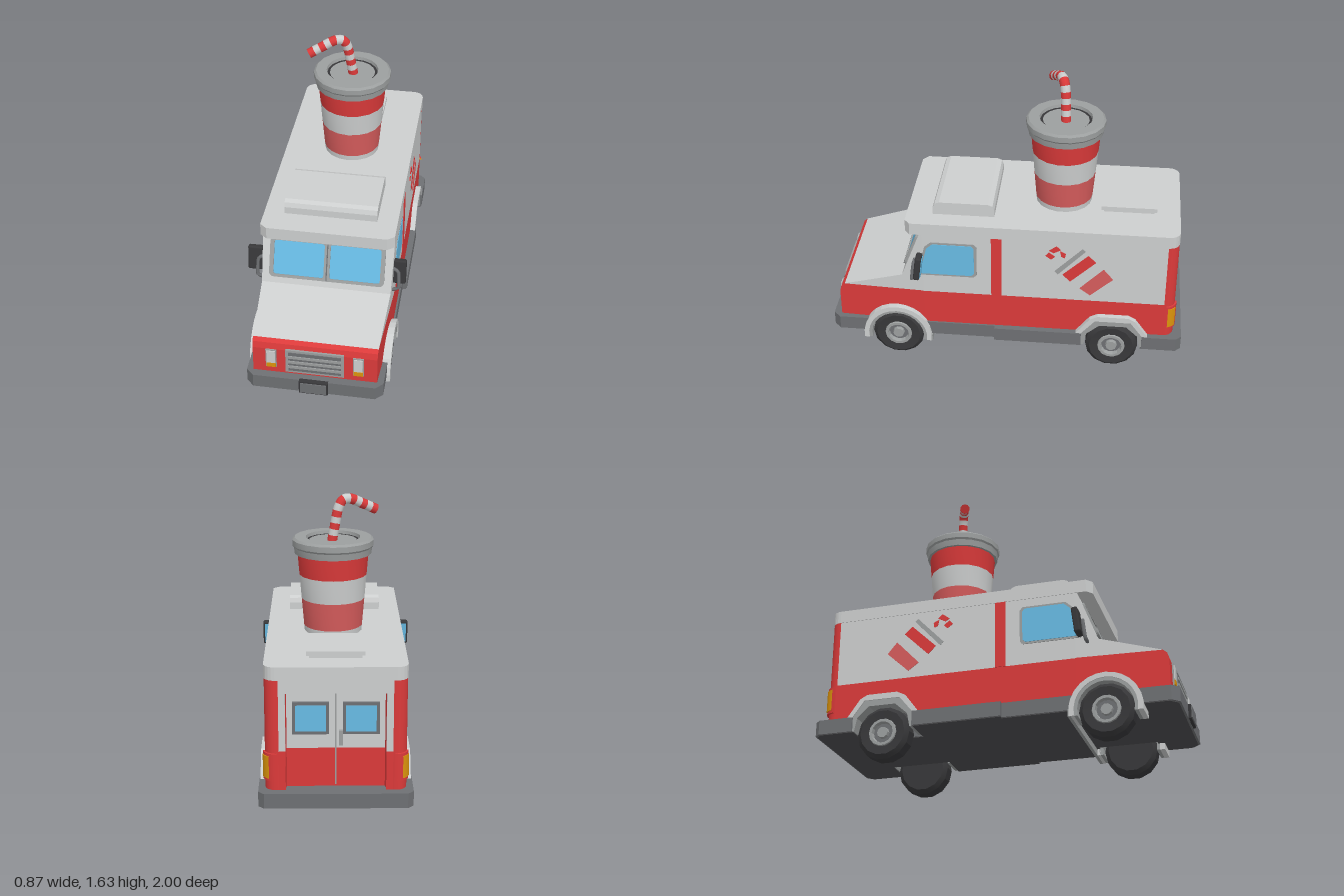
import * as THREE from 'three';
import { toCreasedNormals } from 'three/addons/utils/BufferGeometryUtils.js';
import { RoundedBoxGeometry } from 'three/addons/geometries/RoundedBoxGeometry.js';

const material = (name, color) => {
  const m = new THREE.MeshStandardMaterial({ color });
  m.name = name;
  return m;
};

export function createModel() {
  const white = material('bodyWhite', 0xcdcfcf), red = material('bodyRed', 0xdb3a3a);
  const paleRed = material('paleRed', 0xd65c5c), glass = material('glassBlue', 0x68bbe4);
  const grey = material('trimGrey', 0x9c9f9f), dark = material('bumperGrey', 0x6e7073);
  const black = material('rubberBlack', 0x38383a), amber = material('lampAmber', 0xdc940c);
  const under = material('undersideGrey', 0x4e4e50);

  const root = new THREE.Group();
  root.name = 'drinkTruck';
  const truck = new THREE.Group();
  truck.name = 'truck';
  truck.position.x = 0.01;
  root.add(truck);

  const add = (name, geometry, mat, parent = truck) => {
    const mesh = new THREE.Mesh(geometry, mat);
    mesh.name = name;
    parent.add(mesh);
    return mesh;
  };
  const box = (name, x0, x1, y0, y1, z0, z1, mat, parent) => {
    const mesh = add(name, new THREE.BoxGeometry(x1 - x0, y1 - y0, z1 - z0), mat, parent);
    mesh.position.set((x0 + x1) / 2, (y0 + y1) / 2, (z0 + z1) / 2);
    return mesh;
  };
  const shapeOf = pts => new THREE.Shape(pts.map(p => new THREE.Vector2(...p)));
  const extrude = (shape, depth) => new THREE.ExtrudeGeometry(shape, { depth, bevelEnabled: false, curveSegments: 4 });
  // Side profile in (z, y), extruded from x0 to x1
  const side = (pts, x0, x1) => extrude(shapeOf(pts), x1 - x0).rotateY(-Math.PI / 2).translate(x1, 0, 0);
  // Plan outline in (x, z), extruded from y0 to y1
  const plan = (pts, y0, y1) => extrude(shapeOf(pts.map(([x, z]) => [x, -z])), y1 - y0).rotateX(-Math.PI / 2).translate(0, y0, 0);
  // The same side profile on both flanks
  const flanks = (name, pts, x0, x1, mat) => {
    add(name + 'Left', side(pts, x0, x1), mat);
    add(name + 'Right', side(pts, -x1, -x0), mat);
  };
  const mirrored = half => [...half, ...half.map(([x, z]) => [-x, z]).reverse()];
  const arc = (cx, cy, r, a0, a1, n) => Array.from({ length: n + 1 }, (_, i) => {
    const a = a0 + (a1 - a0) * i / n;
    return [cx + r * Math.cos(a), cy + r * Math.sin(a)];
  });
  const lathe = (pts, n) => toCreasedNormals(new THREE.LatheGeometry(pts.map(p => new THREE.Vector2(...p)), n), 0.42);
  const rect = (path, x, y, w, h, r) => {
    path.moveTo(x - w / 2 + r, y - h / 2);
    path.lineTo(x + w / 2 - r, y - h / 2); path.quadraticCurveTo(x + w / 2, y - h / 2, x + w / 2, y - h / 2 + r);
    path.lineTo(x + w / 2, y + h / 2 - r); path.quadraticCurveTo(x + w / 2, y + h / 2, x + w / 2 - r, y + h / 2);
    path.lineTo(x - w / 2 + r, y + h / 2); path.quadraticCurveTo(x - w / 2, y + h / 2, x - w / 2, y + h / 2 - r);
    path.lineTo(x - w / 2, y - h / 2 + r); path.quadraticCurveTo(x - w / 2, y - h / 2, x - w / 2 + r, y - h / 2);
    return path;
  };

  // Chassis with wheel notches, bumpers and rear step
  const base = mirrored([[0.33, 0.98], [0.37, 0.94], [0.37, 0.77], [0.22, 0.77], [0.22, 0.44], [0.37, 0.44], [0.37, 0.05],
    [0.395, 0.05], [0.395, -0.44], [0.22, -0.44], [0.22, -0.78], [0.395, -0.78], [0.395, -0.97], [0.365, -1]]);
  add('chassis', plan(base, 0.16, 0.24), dark);
  add('underside', plan(base.map(([x, z]) => [x * 0.985, z * 0.99]), 0.156, 0.161), under);
  box('frontWheelWell', -0.22, 0.22, 0.2, 0.42, 0.43, 0.78, under);
  box('rearWheelWell', -0.22, 0.22, 0.2, 0.42, -0.79, -0.43, under);
  box('crossBar', -0.385, 0.385, 0.12, 0.16, 0.405, 0.422, grey);
  box('plateHolder', -0.078, 0.078, 0.162, 0.242, 0.97, 0.995, black);
  box('blankPlate', -0.07, 0.07, 0.17, 0.234, 0.99, 1, dark);

  // Main body
  const W = 0.36;
  add('lowerBody', side([[-0.9, 0.24], [-0.77, 0.24], [-0.7, 0.31], [-0.53, 0.31], [-0.46, 0.24], [0.45, 0.24], [0.45, 0.45], [-0.9, 0.45]], -W, W), red);
  box('upperBody', -W, W, 0.45, 0.84, -0.9, 0.45, white);

  // Nose narrows toward the front
  const taper = geometry => {
    const p = geometry.attributes.position;
    for (let i = 0; i < p.count; i++) p.setX(i, p.getX(i) * (1 - 0.145 * (p.getZ(i) - 0.45)));
    geometry.computeVertexNormals();
    return geometry;
  };
  add('lowerNose', taper(side([[0.45, 0.24], ...arc(0.605, 0.148, 0.16, 2.53, 0.61, 8), [0.935, 0.24], [0.935, 0.4], [0.925, 0.435], [0.905, 0.452], [0.45, 0.452]], -W, W)), red);
  add('hoodAndPillars', taper(side([[0.45, 0.452], [0.905, 0.452], [0.57, 0.55], [0.46, 0.84], [0.45, 0.84]], -W, W)), white);

  // Roof slab with visor, rounded at the rear
  const corner = arc(0.305, -0.896, 0.058, 0, -Math.PI / 2, 5);
  add('roof', plan(mirrored([[0.325, 0.545], [0.363, 0.515], ...corner]), 0.83, 0.9), white);
  add('roofUnit', side([[0.06, 0.895], [0.06, 0.94], [0.07, 0.965], [0.095, 0.975], [0.365, 0.975], [0.39, 0.965], [0.4, 0.94], [0.4, 0.895]], -0.253, 0.253), white);
  box('hatchBase', -0.135, 0.135, 0.895, 0.92, -0.81, -0.535, white);
  box('hatchLid', -0.15, 0.15, 0.917, 0.94, -0.825, -0.52, white);

  // Rear header, door seam and handle; the doors sit back between the posts
  box('rearHeader', -0.305, 0.305, 0.76, 0.835, -0.95, -0.9, white);
  box('doorSeam', -0.004, 0.004, 0.25, 0.76, -0.904, -0.895, grey);
  box('doorHandle', -0.035, -0.015, 0.47, 0.55, -0.92, -0.895, grey);
  for (const s of [-1, 1]) {
    const at = s * 0.28;
    box('rearJamb', at - 0.025, at + 0.025, 0.45, 0.77, -0.95, -0.9, white);
    box('rearJambLower', at - 0.025, at + 0.025, 0.24, 0.45, -0.95, -0.9, red);
    add('cornerPost', new THREE.CylinderGeometry(0.0555, 0.0555, 0.59, 20), red).position.set(s * 0.305, 0.535, -0.897);
    box('rearWindowFrame', s * 0.128 - 0.093, s * 0.128 + 0.093, 0.53, 0.7, -0.916, -0.895, dark);
    box('rearWindow', s * 0.128 - 0.077, s * 0.128 + 0.077, 0.546, 0.684, -0.92, -0.91, glass);
    // Tail lamps wrap the corner: red housing, amber lens on the flank
    const wrap = (name, r, h, from, to, mat) => {
      const start = s > 0 ? from : 360 - to;
      const rad = Math.PI / 180;
      add(name, new THREE.CylinderGeometry(r, r, h, 8, 1, false, start * rad, (to - from) * rad), mat).position.set(s * 0.305, 0.365, -0.897);
    };
    wrap('tailLampHousing', 0.065, 0.15, 98, 185, red);
    wrap('tailLampLens', 0.069, 0.12, 106, 150, amber);
    // Headlamps
    box('headlampFrame', s * 0.235 - 0.029, s * 0.235 + 0.029, 0.28, 0.4, 0.92, 0.943, grey);
    box('headlamp', s * 0.235 - 0.023, s * 0.235 + 0.023, 0.312, 0.394, 0.94, 0.948, white);
    box('turnSignal', s * 0.235 - 0.025, s * 0.235 + 0.025, 0.284, 0.312, 0.94, 0.949, amber);
    // Wing mirrors
    const mirror = new THREE.Group();
    mirror.name = 'wingMirror';
    mirror.position.set(s * 0.394 - 0.01, 0.637, 0.472);
    mirror.rotation.x = -0.12;
    truck.add(mirror);
    add('mirrorShell', new RoundedBoxGeometry(0.084, 0.145, 0.035, 2, 0.01), black, mirror);
    box('mirrorGlass', -0.032, 0.032, -0.06, 0.06, -0.021, -0.015, glass, mirror);
    const arm = new THREE.CatmullRomCurve3([[0.345, 0.67, 0.49], [0.385, 0.65, 0.497], [0.39, 0.55, 0.51], [0.345, 0.535, 0.515]]
      .map(([x, y, z]) => new THREE.Vector3(s * x, y, z)), false, 'catmullrom', 0.2);
    add('mirrorArm', new THREE.TubeGeometry(arm, 12, 0.01, 6), dark);
  }

  // Grille
  box('grilleFrame', -0.157, 0.157, 0.255, 0.41, 0.92, 0.943, grey);
  box('grilleOpening', -0.142, 0.142, 0.269, 0.396, 0.94, 0.946, dark);
  for (let i = 0; i < 3; i++) box('grilleBar', -0.142, 0.142, 0.29 + i * 0.034, 0.306 + i * 0.034, 0.94, 0.951, grey);

  // Windscreen on the sloped front
  const screen = new THREE.Group();
  screen.name = 'windscreen';
  screen.position.set(0, 0.69, 0.515);
  screen.rotation.x = -0.374;
  truck.add(screen);
  const frame = rect(new THREE.Shape(), 0, 0, 0.63, 0.225, 0.03);
  for (const s of [-1, 1]) frame.holes.push(rect(new THREE.Path(), s * 0.154, 0, 0.276, 0.194, 0.015));
  add('windscreenFrame', extrude(frame, 0.014), grey, screen);
  box('windscreenGlass', -0.3, 0.3, -0.1, 0.1, 0, 0.006, glass, screen);
  box('windscreenSeam', -0.003, 0.003, -0.11, 0.11, 0.01, 0.016, dark, screen);

  // Side windows and red door stripes
  const pane = [[0.482, 0.565], [0.437, 0.75], [0.4, 0.783], [0.165, 0.783], [0.148, 0.766], [0.148, 0.582], [0.165, 0.565]];
  flanks('sideWindowFrame', pane, 0.35, 0.364, grey);
  flanks('sideWindow', pane.map(([z, y]) => [0.312 + (z - 0.312) * 0.91, 0.674 + (y - 0.674) * 0.9]), 0.358, 0.367, glass);
  flanks('doorStripe', [[0.01, 0.45], [0.068, 0.45], [0.068, 0.83], [0.01, 0.83]], 0.356, 0.364, red);

  // Painted cup on both flanks
  const paint = [
    [red, [[-0.326, 0.618], [-0.465, 0.751], [-0.508, 0.709], [-0.369, 0.575]]],
    [paleRed, [[-0.422, 0.532], [-0.551, 0.666], [-0.604, 0.602], [-0.481, 0.489]]],
    [grey, [[-0.283, 0.639], [-0.433, 0.794], [-0.449, 0.778], [-0.3, 0.618]]],
    [red, [[-0.23, 0.738], [-0.25, 0.76], [-0.283, 0.735], [-0.262, 0.715]]],
    [red, [[-0.25, 0.772], [-0.29, 0.803], [-0.315, 0.78], [-0.275, 0.758]]],
    [red, [[-0.31, 0.772], [-0.342, 0.757], [-0.337, 0.728], [-0.317, 0.737]]],
  ];
  paint.forEach(([mat, pts], i) => flanks('paintedCup' + (i + 1), pts, 0.356, 0.363, mat));

  // Wheel arches: light outer lip and darker lining
  flanks('frontArch', [...arc(0.605, 0.148, 0.195, -0.14, Math.PI + 0.14, 14), ...arc(0.605, 0.148, 0.168, Math.PI + 0.165, -0.165, 14)], 0.24, 0.388, white);
  flanks('frontArchLining', [...arc(0.605, 0.148, 0.172, -0.16, Math.PI + 0.16, 14), ...arc(0.605, 0.148, 0.15, Math.PI + 0.18, -0.18, 14)], 0.24, 0.382, grey);
  flanks('rearArch', [[-0.405, 0.235], [-0.485, 0.34], [-0.53, 0.362], [-0.7, 0.362], [-0.74, 0.34], [-0.815, 0.235],
    [-0.785, 0.235], [-0.715, 0.33], [-0.515, 0.33], [-0.435, 0.235]], 0.24, 0.39, white);
  flanks('rearArchLining', [[-0.43, 0.235], [-0.515, 0.335], [-0.715, 0.335], [-0.79, 0.235], [-0.79, 0.16], [-0.77, 0.16],
    [-0.755, 0.235], [-0.69, 0.297], [-0.54, 0.297], [-0.47, 0.235], [-0.455, 0.16], [-0.435, 0.16]], 0.24, 0.384, grey);

  // Wheels
  for (const s of [-1, 1]) for (const z of [0.605, -0.612]) {
    const wheel = new THREE.Group();
    wheel.name = z > 0 ? 'frontWheel' : 'rearWheel';
    wheel.position.set(s * 0.315, 0.147, z);
    wheel.rotation.z = -s * Math.PI / 2;
    truck.add(wheel);
    add('tyre', lathe([[0, -0.055], [0.125, -0.055], [0.147, -0.035], [0.147, 0.035], [0.125, 0.055], [0.078, 0.05]], 14), black, wheel);
    add('rim', lathe([[0.08, 0.045], [0.075, 0.058], [0.06, 0.058], [0.054, 0.035]], 14), grey, wheel);
    add('wheelDish', lathe([[0.058, 0.036], [0, 0.036]], 14), dark, wheel);
    add('hub', lathe([[0.034, 0.03], [0.03, 0.055], [0, 0.055]], 10), grey, wheel);
  }

  // Giant cup on the roof
  const cup = new THREE.Group();
  cup.name = 'roofCup';
  cup.position.set(0.02, 0, -0.307);
  root.add(cup);
  const radius = y => 0.155 + (y - 0.9) / 0.43 * 0.036;
  const bands = [[0.895, 0.93, white], [0.93, 1.08, paleRed], [1.08, 1.21, white], [1.21, 1.34, red]];
  for (const [y0, y1, mat] of bands) add('cupBand', lathe([[radius(y0), y0], [radius(y1), y1]], 18), mat, cup);
  add('cupLid', lathe([[0.18, 1.325], [0.205, 1.325], [0.21, 1.36], [0.217, 1.37], [0.217, 1.4], [0.205, 1.411], [0.145, 1.411], [0.14, 1.39], [0, 1.39]], 18), grey, cup);
  add('lidGroove', lathe([[0.141, 1.394], [0.127, 1.394]], 18), black, cup);

  // Bent straw with alternating stripes
  const path = new THREE.CatmullRomCurve3([[0.005, 1.385, 0], [-0.012, 1.48, 0.004], [-0.03, 1.565, 0.01], [-0.052, 1.602, 0.02],
    [-0.09, 1.607, 0.034], [-0.16, 1.575, 0.06], [-0.23, 1.54, 0.086]].map(p => new THREE.Vector3(...p)));
  const straw = new THREE.TubeGeometry(path, 39, 0.027, 10);
  for (let i = 0; i < 13; i++) straw.addGroup(i * 180, 180, i % 2);
  add('straw', straw, [red, white], cup);
  const tip = add('strawTip', new THREE.CircleGeometry(0.027, 10), red, cup);
  tip.position.copy(path.getPoint(1));
  tip.quaternion.setFromUnitVectors(new THREE.Vector3(0, 0, 1), path.getTangent(1));

  return root;
}
